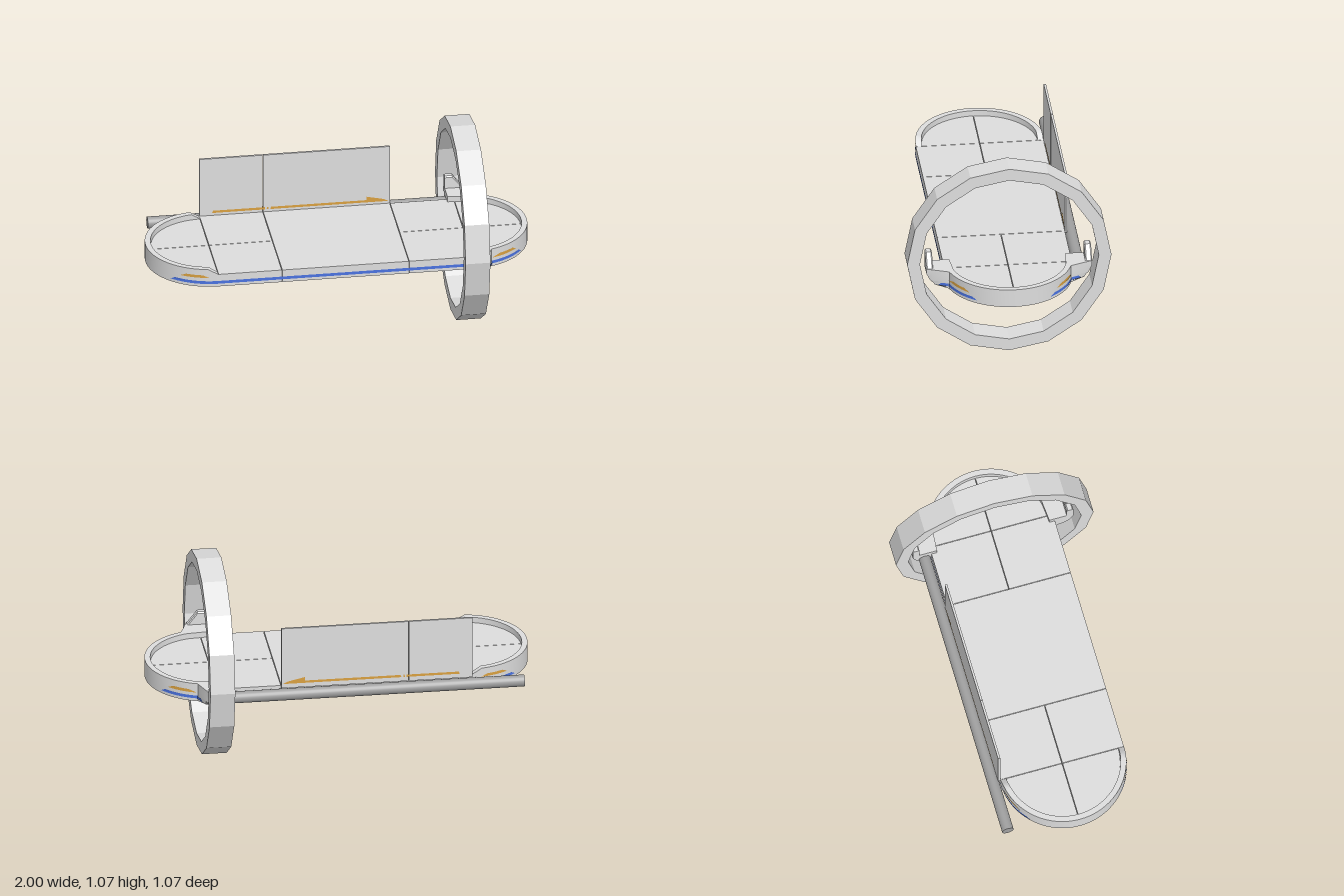
import * as THREE from 'three';
import { toCreasedNormals } from 'three/addons/utils/BufferGeometryUtils.js';

const END = 0.667, R = 0.333, INNER = 0.303, BASE = 0.40, FLOOR = 0.47, TOP = 0.50;
const rad = THREE.MathUtils.degToRad;

// Skin between equal-length convex loops, with end caps; winding is fixed by signed volume.
function loft(sections, crease = 0.5) {
  const n = sections[0].length, tris = [];
  for (let s = 0; s < sections.length - 1; s++) {
    const a = sections[s], b = sections[s + 1];
    for (let i = 0; i < n; i++) {
      const j = (i + 1) % n;
      tris.push([a[i], a[j], b[j]], [a[i], b[j], b[i]]);
    }
  }
  const first = sections[0], last = sections[sections.length - 1];
  for (let i = 1; i < n - 1; i++) {
    tris.push([first[0], first[i + 1], first[i]], [last[0], last[i], last[i + 1]]);
  }
  const volume = tris.reduce((v, [p, q, r]) => v + p.dot(q.clone().cross(r)), 0);
  const pts = tris.flatMap(([p, q, r]) => (volume < 0 ? [p, r, q] : [p, q, r]));
  return toCreasedNormals(new THREE.BufferGeometry().setFromPoints(pts), crease);
}

// Thin open strip between a lower and an upper line of points; flip turns its front round.
function strip(lower, upper, flip = false) {
  const pts = [];
  for (let i = 0; i < lower.length - 1; i++) {
    const [a, b, c, d] = [lower[i], lower[i + 1], upper[i + 1], upper[i]];
    pts.push(...(flip ? [a, c, b, a, d, c] : [a, b, c, a, c, d]));
  }
  const g = new THREE.BufferGeometry().setFromPoints(pts);
  g.computeVertexNormals();
  return g;
}

export function createModel() {
  const model = new THREE.Group();
  model.name = 'ringedPlatform';
  const grey = new THREE.MeshStandardMaterial({ color: 0xdddddd });
  const darkGrey = new THREE.MeshStandardMaterial({ color: 0xa0a0a0 });
  const blue = new THREE.MeshStandardMaterial({ color: 0x4a72e0, side: THREE.DoubleSide });
  const orange = new THREE.MeshStandardMaterial({ color: 0xd8a040, side: THREE.DoubleSide });
  grey.name = 'hullGrey';
  darkGrey.name = 'rodGrey';
  blue.name = 'stripeBlue';
  orange.name = 'stripeOrange';

  const V = (x, y, z) => new THREE.Vector3(x, y, z);
  const add = (name, geometry, material = grey) => {
    const mesh = new THREE.Mesh(geometry, material);
    mesh.name = name;
    model.add(mesh);
    return mesh;
  };
  const box = (name, x0, x1, y0, y1, z0, z1) =>
    add(name, new THREE.BoxGeometry(x1 - x0, y1 - y0, z1 - z0))
      .position.set((x0 + x1) / 2, (y0 + y1) / 2, (z0 + z1) / 2);

  // Sixteen-sided ring
  const polygon = (r) => Array.from({ length: 16 }, (_, i) =>
    new THREE.Vector2(r * Math.cos(i * Math.PI / 8), r * Math.sin(i * Math.PI / 8)));
  const ringShape = new THREE.Shape(polygon(0.533));
  ringShape.holes.push(new THREE.Path(polygon(0.467)));
  const ringGeo = new THREE.ExtrudeGeometry(ringShape, { depth: 0.13, bevelEnabled: false });
  add('ring', ringGeo.rotateY(Math.PI / 2)).position.set(0.6, 0.533, 0);

  // Deck panels with fine seams between them
  const g = 0.0015;
  box('middleDeck', -0.333 + g, 0.333 - g, BASE, FLOOR, -R, R);
  for (const x of [-0.5, 0.5]) {
    box('deckPanel', x - 0.167 + g, x + 0.167 - g, BASE, FLOOR, g, R);
    box('deckPanel', x - 0.167 + g, x + 0.167 - g, BASE, FLOOR, -R, -g);
  }

  // Quarter-round panels at both ends
  const quarter = new THREE.Shape();
  quarter.moveTo(g, g);
  quarter.lineTo(INNER - g, g);
  quarter.absarc(0, 0, INNER - g, 0.005, Math.PI / 2 - 0.005, false);
  const quarterGeo = toCreasedNormals(new THREE.ExtrudeGeometry(quarter,
    { depth: FLOOR - BASE, bevelEnabled: false, curveSegments: 20 }).rotateX(-Math.PI / 2), 0.5);
  for (let k = 0; k < 4; k++) {
    const panel = add('endDeck', quarterGeo);
    panel.rotation.y = k * Math.PI / 2;
    panel.position.set(k === 0 || k === 3 ? END : -END, BASE, 0);
  }

  // Raised rims; the one at the far end from the ring slopes down to the deck
  const rim = (side) => {
    const sections = [];
    for (let i = 0; i <= 40; i++) {
      const deg = -90 + i * 4.5, a = rad(deg), c = Math.cos(a), s = Math.sin(a);
      const top = side < 0 ? FLOOR + 0.03 * Math.min(1, (90 - Math.abs(deg)) / 9) : TOP;
      const at = (r, y) => V(side * (END + r * c), y, r * s);
      sections.push([at(INNER, BASE), at(R, BASE), at(R, top), at(INNER, top)]);
    }
    return loft(sections, 0.9);
  };
  add('ringEndRim', rim(1));
  add('openEndRim', rim(-1));

  // Flared arms reaching the ring, each with a lug that slopes down to the arm
  const profile = [[0.30, 0.40], [0.36, 0.402], [0.39, 0.413], [0.415, 0.437],
    [0.433, 0.475], [0.433, 0.50], [0.30, 0.50]];
  for (const s of [1, -1]) {
    const section = (x, inner, outer) =>
      profile.map(([z, y]) => V(x, y, s * (z === 0.30 ? inner : Math.min(z, outer))));
    add('ringArm', loft([section(0.63, 0.303, 0.433), section(0.725, 0.295, 0.433),
      section(0.735, 0.295, 0.405), section(0.767, 0.287, 0.32)], 0.6));
    const lug = (x, top) => [[0.397, 0.48], [0.433, 0.48], [0.433, top - 0.008],
      [0.427, top], [0.403, top], [0.397, top - 0.008]].map(([z, y]) => V(x, y, s * z));
    add('ringLug', loft([lug(0.63, 0.57), lug(0.67, 0.57), lug(0.725, 0.50)], 0.2));
  }

  // Two-piece upright back panel and the rod below it
  box('backPanel', -END, -0.333 - g, 0.46, 0.80, -0.346, -0.334);
  box('backPanel', -0.333 + g, 0.333, 0.46, 0.80, -0.346, -0.334);
  const rod = add('sideRod', new THREE.CylinderGeometry(0.031, 0.031, 1.6, 24).rotateZ(Math.PI / 2), darkGrey);
  rod.position.set(-0.135, 0.435, -0.37);

  // Painted bands around the rims: lower and upper angle ranges, in degrees
  const arcBand = (name, mat, side, s, y0, y1, low, high) => {
    const line = (y, [a0, a1]) => Array.from({ length: 13 }, (_, i) => {
      const a = rad(a0 + (a1 - a0) * i / 12);
      return V(side * (END + 0.3355 * Math.cos(a)), y, s * 0.3355 * Math.sin(a));
    });
    add(name, strip(line(y0, low), line(y1, high), side * s > 0), mat);
  };
  for (const s of [1, -1]) {
    arcBand('rimBlueBand', blue, 1, s, 0.417, 0.433, [35, 73], [40, 73]);
    arcBand('rimOrangeBand', orange, 1, s, 0.45, 0.466, [43, 72], [49, 64]);
    arcBand('rimBlueBand', blue, -1, s, 0.417, 0.433, [45, 90], [50, 90]);
    arcBand('rimOrangeBand', orange, -1, s, 0.452, 0.467, [55, 82], [61, 76]);
    add('armBlueBand', strip(
      [V(0.770, 0.417, s * 0.323), V(0.749, 0.417, s * 0.373)],
      [V(0.770, 0.433, s * 0.323), V(0.757, 0.433, s * 0.358)], s > 0), blue);
    add('sideBlueBand', strip(
      [V(-END, 0.417, s * 0.3355), V(0.63, 0.417, s * 0.3355)],
      [V(-END, 0.433, s * 0.3355), V(0.63, 0.433, s * 0.3355)], s < 0), blue);
  }

  // Long arrow painted on both faces of the back panel
  for (const z of [-0.3325, -0.3475]) {
    const flat = (points) => strip(points[0].map(([x, y]) => V(x, y, z)),
      points[1].map(([x, y]) => V(x, y, z)), z < -0.34);
    for (const [x0, x1] of [[-0.60, -0.322], [-0.315, -0.305], [-0.295, 0.21]]) {
      add('panelStripe', flat([[[x0, 0.484], [x1, 0.484]], [[x0 + 0.005, 0.497], [x1, 0.497]]]), orange);
    }
    add('panelArrowHead', flat([[[0.21, 0.484], [0.325, 0.484]], [[0.21, 0.517], [0.30, 0.497]]]), orange);
  }
  return model;
}
